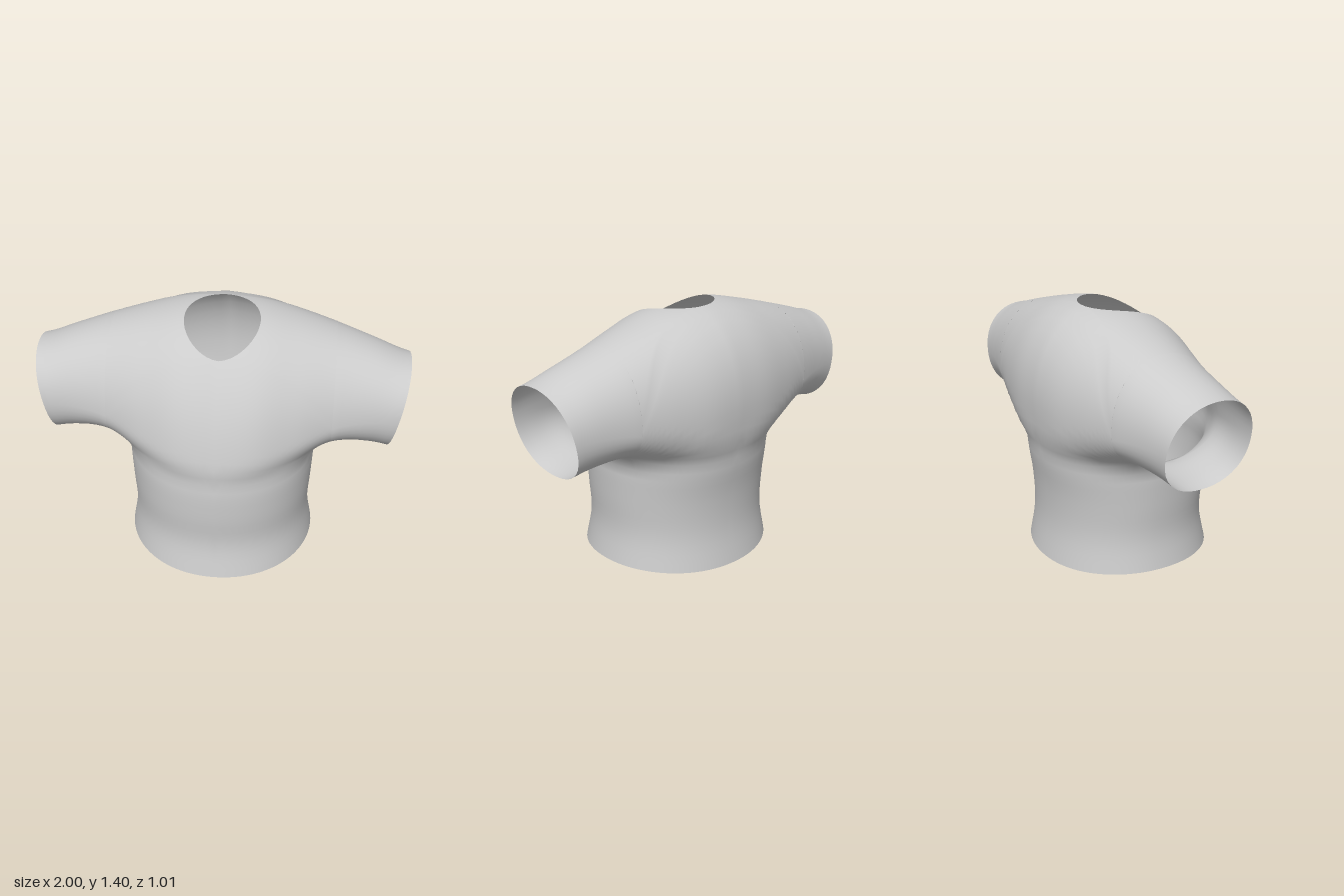
import * as THREE from 'three';
import { mergeVertices } from 'three/addons/utils/BufferGeometryUtils.js';

// smooth lookup in a table of evenly spaced values
function table(values, u) {
  const n = values.length - 1;
  u = Math.min(Math.max(u, 0), n);
  const i = Math.min(Math.floor(u), n - 1), t = u - i;
  const a = values[Math.abs(i - 1)], b = values[i], c = values[i + 1], d = values[Math.min(i + 2, n)];
  return b + 0.5 * t * (c - a + t * (2 * a - 5 * b + 4 * c - d + t * (3 * (b - c) + d - a)));
}

// shoulder-to-sleeve tube, sampled at x = 0, 0.2 ... 1
const TOP = [1.41, 1.395, 1.345, 1.285, 1.22, 1.155];
const MID = [0.75, 0.78, 0.83, 0.89, 0.91, 0.9];
const BOTTOM = [0.55, 0.58, 0.64, 0.7, 0.68, 0.63];
const FRONT = [0.475, 0.45, 0.355, 0.26, 0.215, 0.205];
const BACK = [-0.49, -0.485, -0.445, -0.39, -0.335, -0.295];
// trunk, sampled at y = -0.2, 0 ... 1
const WIDTH = [0.55, 0.52, 0.49, 0.5, 0.51, 0.51, 0.5];
const CHEST = [0.55, 0.505, 0.467, 0.48, 0.48, 0.45, 0.43];
const SPINE = [0.5, 0.46, 0.43, 0.435, 0.465, 0.48, 0.46];

function tube(x) {
  const u = Math.abs(x) * 5;
  const f = table(FRONT, u), b = table(BACK, u), mid = table(MID, u);
  return {
    mid, up: table(TOP, u) - mid, down: mid - table(BOTTOM, u),
    rz: (f - b) / 2, cz: (f + b) / 2, lean: 0.17 * Math.max(0, 1 - Math.abs(x)),
  };
}

// point on the tube's cross-section; angle 0 is underneath, PI on top
function section(x, angle, side) {
  const s = tube(x), c = Math.cos(angle);
  const y = s.mid - c * (c > 0 ? s.down : s.up);
  return new THREE.Vector3(x, y, s.cz - s.lean * (y - s.mid) + side * Math.sin(angle) * s.rz);
}

// signed field of the garment: trunk and sleeve tube blended softly at the armpit
function field(x, y, z) {
  const s = tube(x), v = y / 0.2 + 1;
  const dy = Math.abs(y - s.mid) / (y > s.mid ? s.up : s.down);
  const dz = Math.abs(z - s.cz + s.lean * (y - s.mid)) / s.rz;
  const arm = ((dy ** 2.15 + dz ** 2.15) ** (1 / 2.15) - 1) * s.rz;
  const depth = table(z > 0 ? CHEST : SPINE, v);
  const dome = Math.max(0, y - 0.55) / 0.65;
  const sum = (Math.abs(x) / table(WIDTH, v)) ** 2.1 + (Math.abs(z) / depth) ** 2.1 + dome ** 2.1;
  const trunk = (sum ** (1 / 2.1) - 1) * 0.48;
  const k = 0.06 + 0.15 * Math.min(Math.abs(x), 0.6);
  const h = Math.max(k - Math.abs(arm - trunk), 0) / k;
  return Math.min(arm, trunk) - h * h * k / 4;
}

// slide a point onto the surface; limit keeps border points on their border
function settle(p, limit) {
  const e = 0.001, g = new THREE.Vector3();
  for (let n = 0; n < 20; n++) {
    const { x, y, z } = p;
    g.set(field(x + e, y, z) - field(x - e, y, z),
      field(x, y + e, z) - field(x, y - e, z),
      field(x, y, z + e) - field(x, y, z - e)).divideScalar(2 * e);
    if (limit) limit(g);
    const len = Math.max(g.length(), 0.05);
    const step = THREE.MathUtils.clamp(field(x, y, z) / len, -0.06, 0.06);
    p.addScaledVector(g, -step / len);
  }
  return p;
}

const onHem = (g) => g.setY(0);
const onNeck = (g) => g.set(0, g.y, 0);
const cuffNormal = new THREE.Vector3(1, -0.216, 0).normalize();
const onCuff = (g) => g.projectOnPlane(cuffNormal);

const LOW = 14, RISE = 12, NECK = 10;          // rows: trunk, chest, half of the neck edge
const HALF = LOW + RISE + NECK, ROWS = HALF * 2;
const ACROSS = 22, SLEEVE = 9;                 // columns: body, sleeve
const lerp = THREE.MathUtils.lerp;

// one column of points from the centre line (or neck edge) out to the seam (or cuff)
function strand(row) {
  const side = row <= HALF ? 1 : -1, j = Math.min(row, ROWS - row);
  const zMid = side > 0 ? 0.48 : -0.47;
  const pit = section(0.6, 0, 1);
  let inner, outer, angle = 0;
  if (j < LOW) {
    const t = j / LOW;
    inner = new THREE.Vector3(0, 0.68 * t, zMid);
    outer = new THREE.Vector3(0.5 + 0.1 * t ** 6, lerp(0.025, pit.y, t), pit.z);
  } else {
    angle = Math.PI * (j - LOW) / (HALF - LOW);
    outer = section(0.6, angle, side);
    if (j < LOW + RISE) {
      const t = (j - LOW) / RISE;
      inner = new THREE.Vector3(0, lerp(0.68, side > 0 ? 1.29 : 1.39, t),
        lerp(zMid, side > 0 ? 0.23 : -0.2, t * t));
    } else {
      const a = Math.PI / 2 * (j - LOW - RISE) / NECK;
      inner = new THREE.Vector3(0.2 * Math.sin(a), 1.36, 0.015 + side * 0.215 * Math.cos(a));
    }
  }
  if (j >= LOW + RISE) settle(inner, onNeck);
  const points = [];
  for (let i = 0; i <= ACROSS; i++) {
    const a = i / ACROSS * Math.PI / 2, s = Math.sin(a);
    const p = new THREE.Vector3(lerp(inner.x, outer.x, s), lerp(inner.y, outer.y, s * s),
      lerp(inner.z, outer.z, 1 - Math.cos(a)));
    const neckEdge = i === 0 && j >= LOW + RISE;
    points.push(settle(p, j === 0 ? onHem : neckEdge ? onNeck : null));
  }
  if (j >= LOW) {
    const endX = 0.945 + (section(0.95, angle, side).y - 0.9) * 0.216;
    for (let k = 1; k <= SLEEVE; k++) {
      const p = section(lerp(points[ACROSS].x, endX, k / SLEEVE), angle, side);
      if (k === SLEEVE) p.x = 0.945 + (p.y - 0.9) * 0.216;
      points.push(settle(p, k === SLEEVE ? onCuff : null));
    }
  }
  return points;
}

function shirtGeometry() {
  const strands = [];
  for (let row = 0; row <= ROWS; row++) strands.push(strand(row));
  const positions = [];
  // both halves, the second mirrored with its corners reversed
  for (const m of [1, -1]) {
    const triangle = (a, b, c) => {
      for (const p of m > 0 ? [a, b, c] : [a, c, b]) positions.push(m * p.x, p.y, p.z);
    };
    for (let r = 0; r < ROWS; r++) {
      const p = strands[r], q = strands[r + 1];
      const columns = Math.min(p.length, q.length) - 1;
      for (let i = 0; i < columns; i++) {
        triangle(p[i], p[i + 1], q[i + 1]);
        triangle(p[i], q[i + 1], q[i]);
      }
    }
  }
  const raw = new THREE.BufferGeometry();
  raw.setAttribute('position', new THREE.Float32BufferAttribute(positions, 3));
  const geometry = mergeVertices(raw, 1e-4);
  geometry.computeVertexNormals();
  return geometry;
}

export function createModel() {
  const group = new THREE.Group();
  group.name = 'shirt';
  const material = new THREE.MeshStandardMaterial({ color: 0xcccccc, side: THREE.DoubleSide });
  const shirt = new THREE.Mesh(shirtGeometry(), material);
  shirt.name = 'shirtBody';
  group.add(shirt);
  return group;
}
